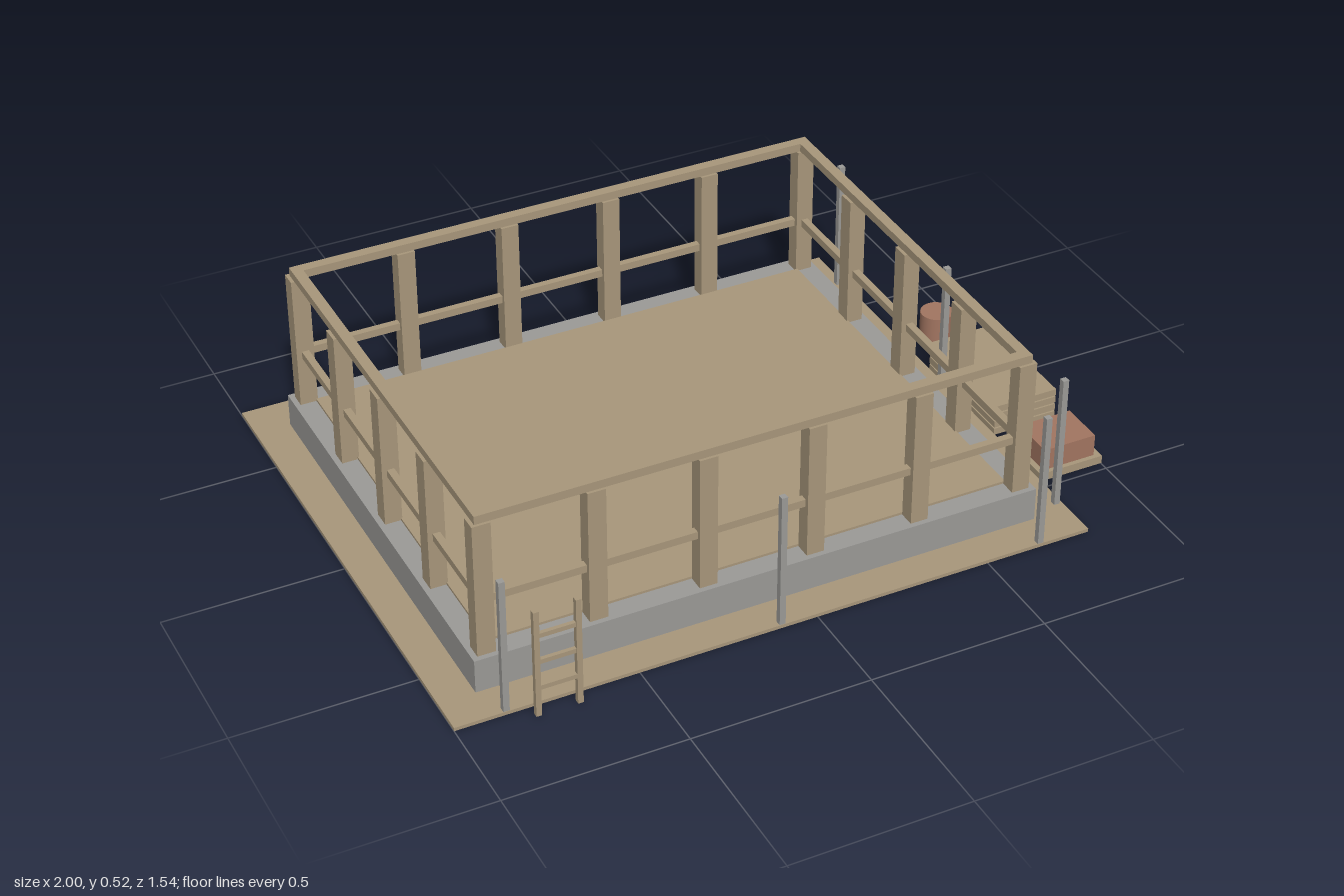
import * as THREE from 'three';

const mat = (name, color) => {
  const m = new THREE.MeshStandardMaterial({ color });
  m.name = name;
  return m;
};

export function createModel() {
  const model = new THREE.Group();
  model.name = 'buildingFrame';
  const wood = mat('wood', 0xa8977b);
  const concrete = mat('concrete', 0x9b9a97);
  const clay = mat('clay', 0xa27561);

  const group = (name) => {
    const g = new THREE.Group();
    g.name = name;
    model.add(g);
    return g;
  };
  // Box given by its limits on each axis
  const box = (parent, name, m, [x0, x1], [y0, y1], [z0, z1]) => {
    const mesh = new THREE.Mesh(new THREE.BoxGeometry(x1 - x0, y1 - y0, z1 - z0), m);
    mesh.position.set((x0 + x1) / 2, (y0 + y1) / 2, (z0 + z1) / 2);
    mesh.name = name;
    parent.add(mesh);
  };
  const around = (c, size) => [c - size / 2, c + size / 2];

  // Ground slab
  box(model, 'ground', wood, [-1, 0.805], [0, 0.01], [-0.77, 0.72]);

  // Concrete foundation ring
  const corners = (x0, x1, z0, z1) =>
    [[x0, -z1], [x1, -z1], [x1, -z0], [x0, -z0]].map(([x, y]) => new THREE.Vector2(x, y));
  const ring = new THREE.Shape(corners(-0.9, 0.7, -0.66, 0.62));
  ring.holes.push(new THREE.Path(corners(-0.84, 0.64, -0.6, 0.56)));
  const foundation = new THREE.Mesh(
    new THREE.ExtrudeGeometry(ring, { depth: 0.102, bevelEnabled: false }), concrete);
  foundation.rotation.x = -Math.PI / 2;
  foundation.position.y = 0.005;
  foundation.name = 'foundation';
  model.add(foundation);

  // Floor deck inside the ring
  box(model, 'floor', wood, [-0.84, 0.64], [0.09, 0.114], [-0.6, 0.56]);

  // Wall frame: posts, middle rails and top plates
  const L = -0.86, R = 0.66, F = 0.583, B = -0.622;
  const frame = group('wallFrame');
  const postY = [0.107, 0.5];
  for (const z of [F, B])
    for (let i = 0; i < 6; i++)
      box(frame, 'post', wood, around(L + (R - L) * i / 5, 0.05), postY, around(z, 0.045));
  for (const x of [L, R])
    for (let i = 1; i < 4; i++)
      box(frame, 'sidePost', wood, around(x, 0.048), postY, around(B + (F - B) * i / 4, 0.05));
  for (const [name, y, w] of [['middleRail', [0.254, 0.276], 0.02], ['topPlate', [0.5, 0.524], 0.03]]) {
    for (const z of [F, B]) box(frame, name, wood, [L - w / 2, R + w / 2], y, around(z, w));
    for (const x of [L, R]) box(frame, name, wood, around(x, w), y, [B + w / 2, F - w / 2]);
  }

  // Scaffold poles along the front and right sides
  const poles = group('scaffoldPoles');
  for (const [x, z] of [[L, 0.71], [-0.1, 0.71], [R, 0.71], [0.788, -0.622], [0.788, -0.02], [0.788, 0.583]])
    box(poles, 'pole', concrete, around(x, 0.017), [0.01, 0.405], around(z, 0.017));

  // Ladder
  const ladder = group('ladder');
  for (const x of [-0.794, -0.682])
    box(ladder, 'ladderStile', wood, around(x, 0.015), [0.005, 0.325], around(0.758, 0.015));
  for (const y of [0.09, 0.17, 0.25])
    box(ladder, 'ladderRung', wood, [-0.787, -0.689], around(y, 0.013), around(0.758, 0.011));

  // Stacked boards
  const stack = group('boardStack');
  for (let i = 0; i < 4; i++)
    box(stack, 'board', wood, [0.806, 0.999], [0.004 + i * 0.0242, 0.024 + i * 0.0242], [-0.118, 0.236]);
  box(stack, 'boardSpacers', wood, [0.815, 0.99], [0.01, 0.09], [-0.109, 0.227]);

  // Bricks on a pallet
  box(model, 'pallet', wood, [0.806, 1], [0.003, 0.027], [0.318, 0.477]);
  box(model, 'brickPile', clay, [0.823, 0.981], [0.027, 0.092], [0.334, 0.464]);

  // Barrel
  const barrel = new THREE.Mesh(new THREE.CylinderGeometry(0.047, 0.047, 0.095, 24), clay);
  barrel.position.set(0.9, 0.0515, -0.246);
  barrel.name = 'barrel';
  model.add(barrel);

  return model;
}
